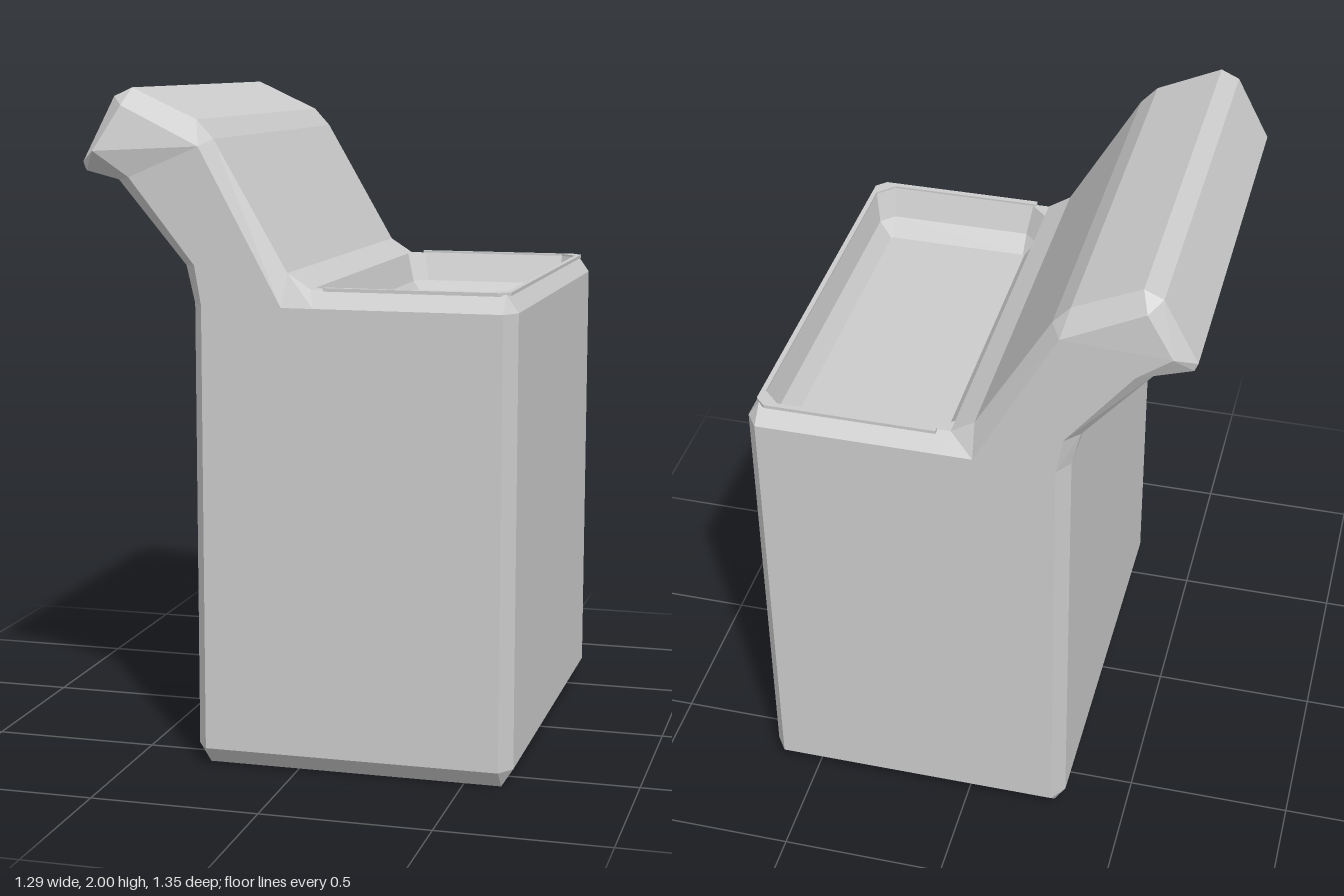
import * as THREE from 'three';

const material = new THREE.MeshStandardMaterial({ color: 0xcccccc, flatShading: true });

// Flat-shaded mesh from a list of triangles, dropping collapsed ones
function facetMesh(name, triangles) {
  const points = triangles
    .filter((t) => new THREE.Triangle(...t).getArea() > 1e-7)
    .flat();
  const geometry = new THREE.BufferGeometry().setFromPoints(points);
  geometry.computeVertexNormals();
  const mesh = new THREE.Mesh(geometry, material);
  mesh.name = name;
  return mesh;
}

// Joins successive closed loops with quads; skip(ring, side) leaves openings
function loft(rings, skip = () => false) {
  const out = [];
  for (let r = 0; r < rings.length - 1; r++) {
    const p = rings[r], q = rings[r + 1];
    for (let i = 0; i < p.length; i++) {
      if (skip(r, i)) continue;
      const j = (i + 1) % p.length;
      out.push([p[i], q[i], q[j]], [p[i], q[j], p[j]]);
    }
  }
  return out;
}

// Side profile: outer x, y, then the bevelled side face's x, y, then side flare
const PROFILE = [
  [-0.31, 0.055, -0.275, 0.055, 0],
  [-0.275, 0, -0.275, 0.055, 0],
  [0.61, 0, 0.61, 0.055, 0],
  [0.645, 0.055, 0.61, 0.055, 0],
  [0.645, 1.38, 0.61, 1.38, 0],
  [0.61, 1.43, 0.61, 1.38, 0],
  [0.04, 1.43, 0.06, 1.38, 0],
  [-0.03, 1.475, -0.035, 1.38, 0],
  [-0.25, 1.855, -0.28, 1.835, 0],
  [-0.3, 1.91, -0.28, 1.835, 0],
  [-0.495, 2, -0.515, 1.95, -0.005],
  [-0.55, 1.975, -0.515, 1.95, -0.005],
  [-0.65, 1.785, -0.59, 1.82, 0.03],
  [-0.64, 1.76, -0.59, 1.82, 0.03],
  [-0.54, 1.735, -0.49, 1.745, 0.005],
  [-0.335, 1.49, -0.295, 1.495, 0],
  [-0.31, 1.38, -0.275, 1.38, 0],
];
const TOP_SIDE = 5; // profile edge that opens into the recess
const FRONT = 0.595, BACK = -0.625, BEVEL = 0.05;

function buildBody() {
  const outer = (z) => PROFILE.map(([x, y]) => new THREE.Vector3(x, y, z));
  const front = PROFILE.map(([, , x, y, f]) => new THREE.Vector3(x, y, FRONT + BEVEL + f));
  const back = PROFILE.map(([, , x, y, f]) => new THREE.Vector3(x, y, BACK - BEVEL - Math.min(f, 0)));
  const triangles = loft([front, outer(FRONT), outer(BACK), back], (r, i) => r === 1 && i === TOP_SIDE);
  // Side faces
  const contour = front.map((p) => new THREE.Vector2(p.x, p.y));
  for (const [a, b, c] of THREE.ShapeUtils.triangulateShape(contour, [])) {
    triangles.push([front[a], front[b], front[c]], [back[a], back[c], back[b]]);
  }
  return facetMesh('bodyWithCurvedLip', triangles);
}

// Rectangle with cut corners at height y
function octagon(x0, x1, z0, z1, y, cut) {
  return [
    [x1, z1 - cut], [x1 - cut, z1], [x0 + cut, z1], [x0, z1 - cut],
    [x0, z0 + cut], [x0 + cut, z0], [x1 - cut, z0], [x1, z0 + cut],
  ].map(([x, z]) => new THREE.Vector3(x, y, z));
}

function buildRecess() {
  const floorY = 1.29;
  const centre = Array.from({ length: 8 }, () => new THREE.Vector3(0.325, floorY, -0.02));
  return facetMesh('topRecess', loft([
    octagon(0.04, 0.61, BACK, FRONT, 1.43, 0),
    octagon(0.04, 0.605, BACK, 0.587, 1.43, 0.05),
    octagon(0.065, 0.59, -0.59, 0.555, 1.34, 0.04),
    octagon(0.1, 0.55, -0.545, 0.505, floorY, 0.005),
    centre,
  ]));
}

// Thin raised lip around the three open sides of the recess
function buildRim() {
  const y0 = 1.426, y1 = 1.436;
  const path = (x, z0, z1, cut, y) => [
    [0.08, z1], [x - cut, z1], [x, z1 - cut], [x, z0 + cut], [x - cut, z0], [0.08, z0],
  ].map(([px, pz]) => new THREE.Vector3(px, y, pz));
  const bands = [
    path(0.62, -0.643, 0.606, 0.03, y0), path(0.62, -0.643, 0.606, 0.03, y1),
    path(0.605, BACK, 0.587, 0.05, y1), path(0.605, BACK, 0.587, 0.05, y0),
  ];
  // Walk round the lip's cross-section along the path
  const sections = bands[0].map((_, i) => bands.map((b) => b[i]));
  const triangles = loft(sections);
  for (const [s, flip] of [[sections[0], false], [sections[5], true]]) {
    const [a, b, c, d] = flip ? [...s].reverse() : s;
    triangles.push([a, b, c], [a, c, d]);
  }
  return facetMesh('recessRim', triangles);
}

export function createModel() {
  const group = new THREE.Group();
  group.name = 'openContainer';
  group.add(buildBody(), buildRecess(), buildRim());
  return group;
}
